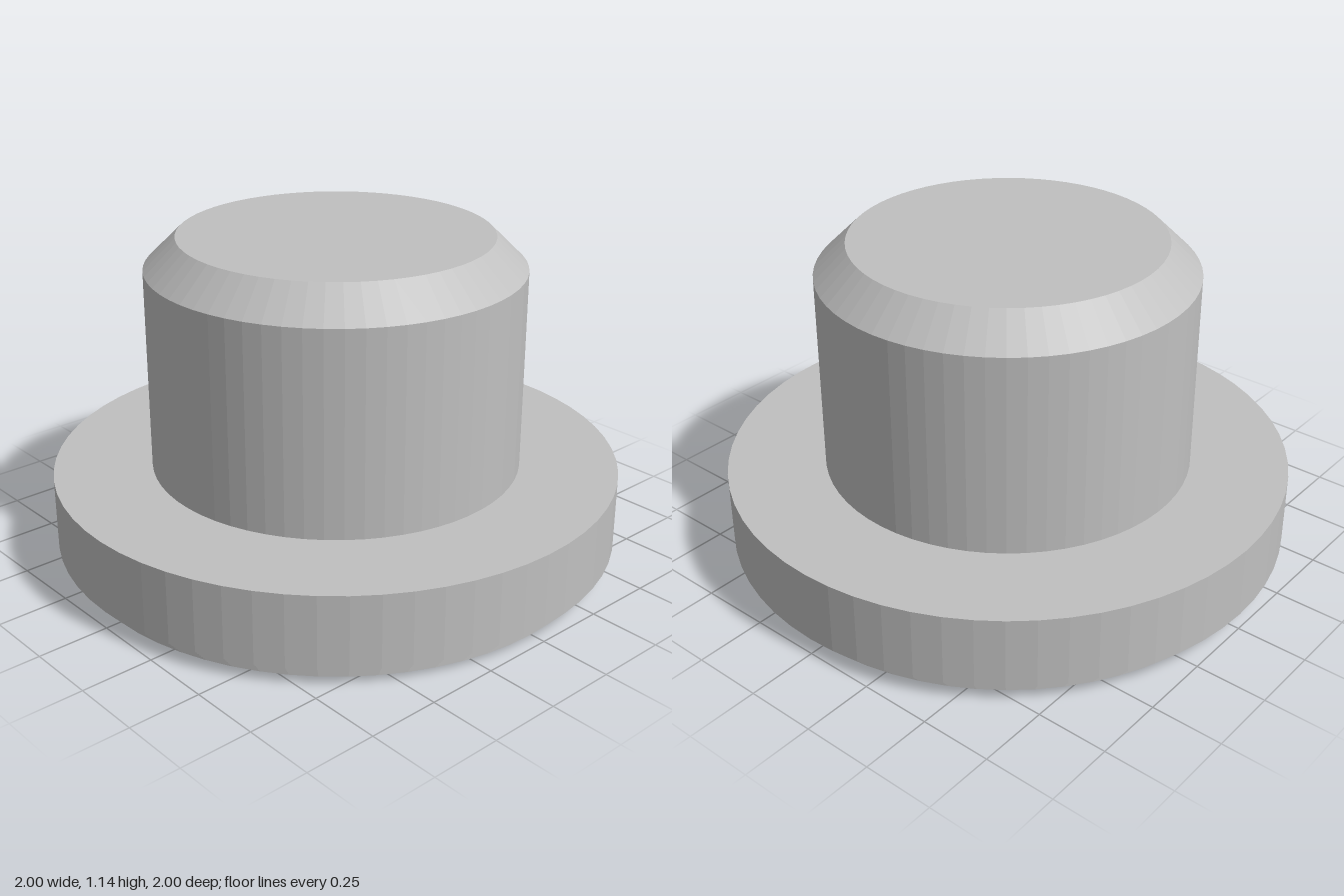
import * as THREE from 'three';

const SIDES = 64;

export function createModel() {
  const group = new THREE.Group();
  group.name = 'flangedPlug';
  const grey = new THREE.MeshStandardMaterial({ color: 0xc0c0c0, flatShading: true });
  grey.name = 'plain grey';

  // Revolve a profile of [radius, height] points, listed from the underside round to the top
  const revolve = (name, points) => {
    const profile = points.map(([r, y]) => new THREE.Vector2(r, y));
    const mesh = new THREE.Mesh(new THREE.LatheGeometry(profile, SIDES), grey);
    mesh.name = name;
    group.add(mesh);
  };

  // Stepped lower edge of the flange
  const steps = [];
  const count = 5, rise = 0.012, run = 0.011;
  for (let i = 0; i < count; i++) {
    const r = 1 - (count - i) * run;
    steps.push([r, i * rise], [r, (i + 1) * rise]);
  }

  // Flange with the shallow round recess underneath
  revolve('flange', [
    [0, 0.167], [0.557, 0.167], [0.557, 0],
    ...steps,
    [1, count * rise], [1, 0.317], [0.655, 0.317],
  ]);

  // Solid shaft with a chamfered top
  revolve('shaft', [[0.655, 0.317], [0.655, 1.03], [0.543, 1.14], [0, 1.14]]);

  return group;
}
